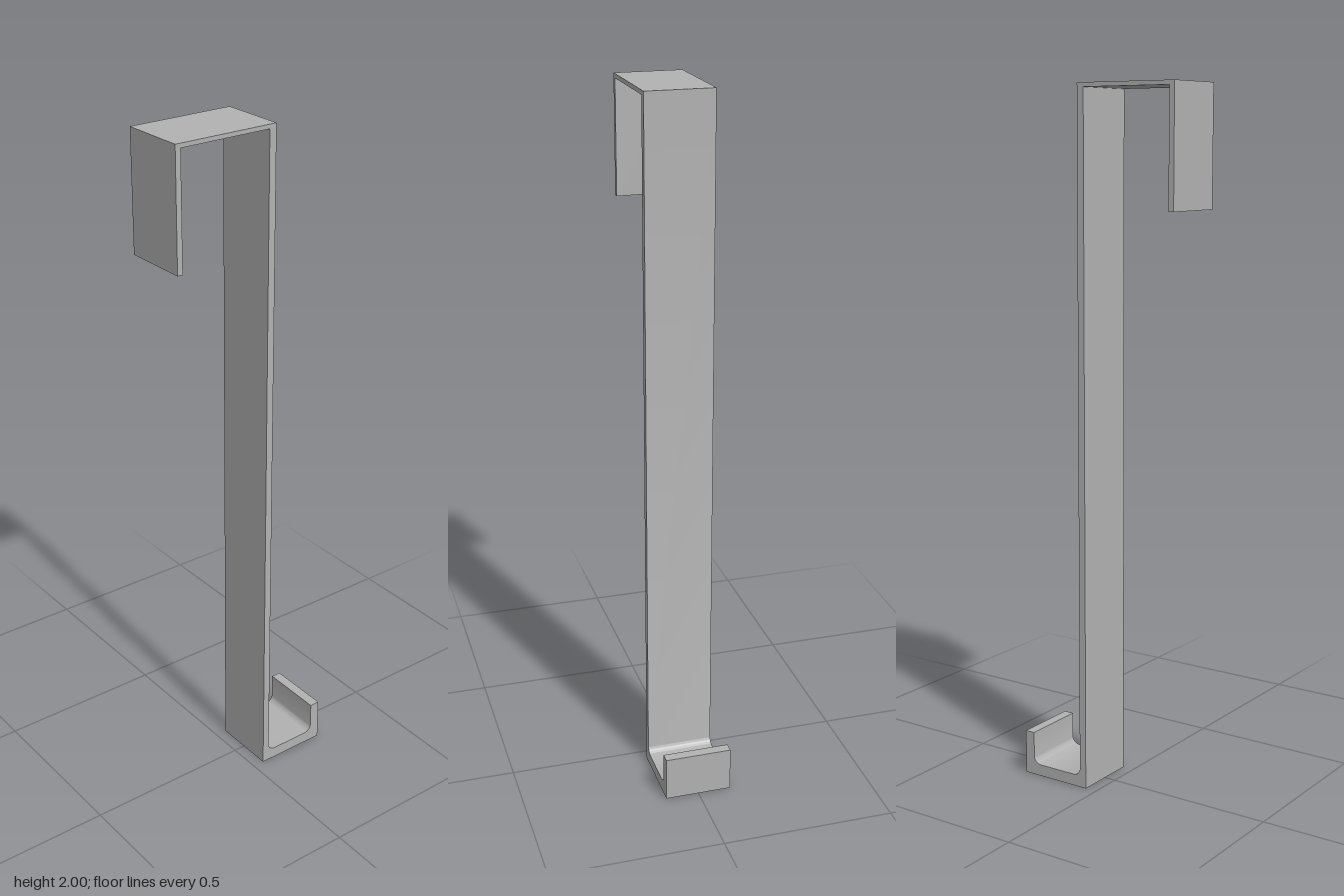
import * as THREE from 'three';
import { toCreasedNormals } from 'three/addons/utils/BufferGeometryUtils.js';

const DEPTH = 0.194;

export function createModel() {
  const group = new THREE.Group();
  group.name = 'overDoorHook';
  const metal = new THREE.MeshStandardMaterial({ color: 0xb2b2b2 });
  metal.name = 'grey metal';

  // Side edges of the strip
  const left = -0.253, legInner = -0.237;
  const stemInner = 0.035, stemOuter = 0.056;
  const lipInner = 0.223, right = 0.253;
  const floor = 0.034, fillet = 0.023;

  // One continuous bent strip: door clip, long stem and rounded hook
  const s = new THREE.Shape();
  s.moveTo(stemInner, 0);
  s.lineTo(right, 0);
  s.lineTo(right, 0.13);
  s.lineTo(lipInner, 0.13);
  s.lineTo(lipInner, floor + fillet);
  s.absarc(lipInner - fillet, floor + fillet, fillet, 0, -Math.PI / 2, true);
  s.lineTo(stemOuter + fillet, floor);
  s.absarc(stemOuter + fillet, floor + fillet, fillet, -Math.PI / 2, -Math.PI, true);
  s.lineTo(stemOuter, 2);
  s.lineTo(left, 2);
  s.lineTo(left, 1.665);
  s.lineTo(legInner, 1.665);
  s.lineTo(legInner, 1.988);
  s.lineTo(stemInner, 1.988);
  s.closePath();

  const geometry = new THREE.ExtrudeGeometry(s, { depth: DEPTH, bevelEnabled: false, curveSegments: 10 });
  geometry.translate(0, 0, -DEPTH / 2);

  const strip = new THREE.Mesh(toCreasedNormals(geometry, Math.PI / 6), metal);
  strip.name = 'bentHookStrip';
  group.add(strip);
  return group;
}
